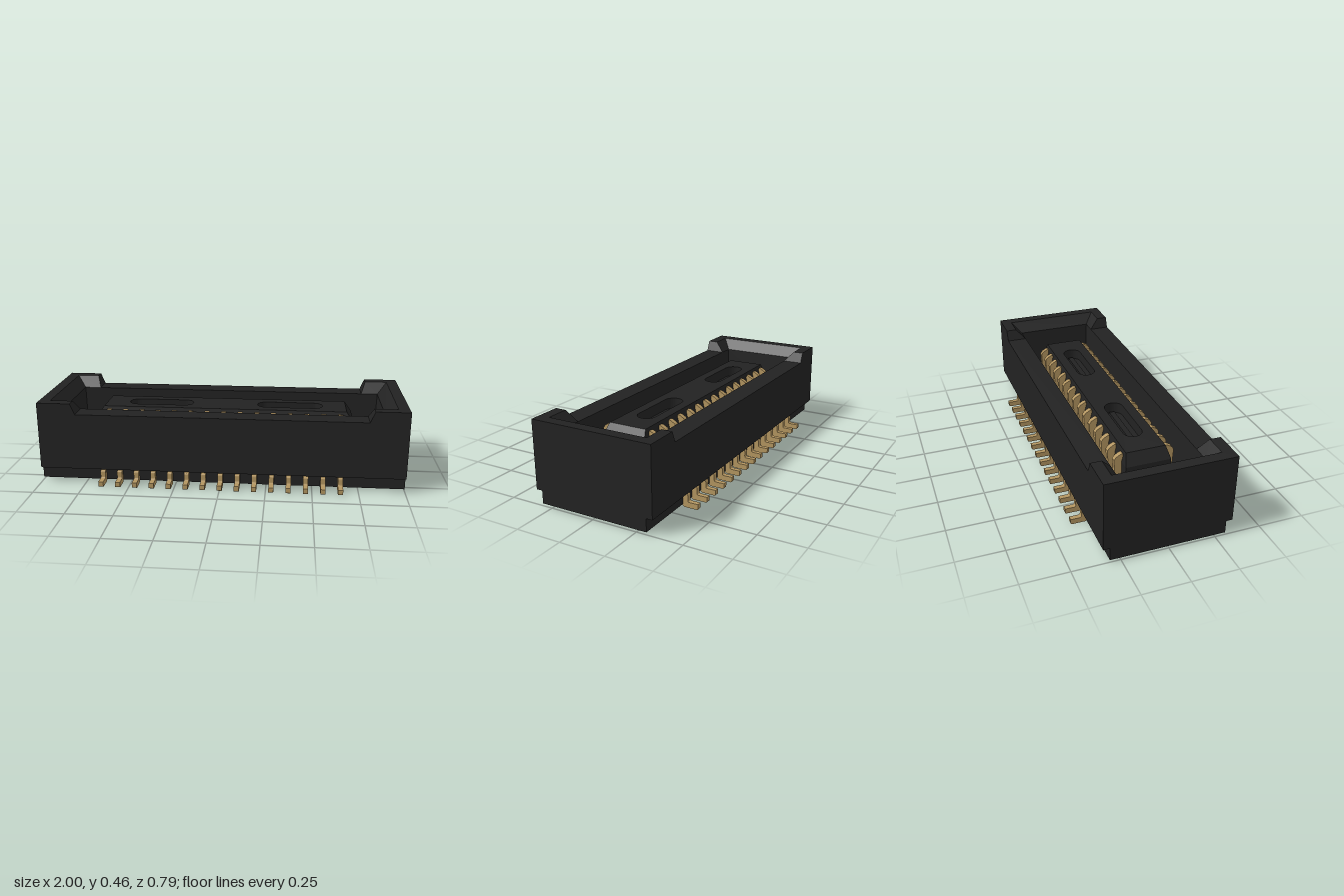
import * as THREE from 'three';

const black = new THREE.MeshStandardMaterial({ color: 0x222222 });
black.name = 'black plastic';
const gold = new THREE.MeshStandardMaterial({ color: 0xb39560 });
gold.name = 'gold contact';

const polygon = (pts) => new THREE.Shape(pts.map(([x, y]) => new THREE.Vector2(x, y)));
const rect = (hx, hz) => polygon([[-hx, -hz], [hx, -hz], [hx, hz], [-hx, hz]]);

// Rounded slot outline centred on (cx, 0)
function slot(cx, halfLength, r) {
  const s = new THREE.Path();
  const d = halfLength - r;
  s.absarc(cx + d, 0, r, -Math.PI / 2, Math.PI / 2, false);
  s.absarc(cx - d, 0, r, Math.PI / 2, Math.PI * 1.5, false);
  s.closePath();
  return s;
}

// Plan outline raised from y0 to y1; topRule may shift the upper vertices
function raise(shape, y0, y1, topRule) {
  const g = new THREE.ExtrudeGeometry(shape, { depth: y1 - y0, bevelEnabled: false, curveSegments: 8 });
  g.rotateX(-Math.PI / 2);
  g.translate(0, y0, 0);
  if (topRule) {
    const p = g.attributes.position;
    for (let i = 0; i < p.count; i++) {
      if (p.getY(i) < (y0 + y1) / 2) continue;
      const [x, z] = topRule(p.getX(i), p.getZ(i));
      p.setX(i, x);
      p.setZ(i, z);
    }
    g.computeVertexNormals();
  }
  return g;
}

export function createModel() {
  const model = new THREE.Group();
  model.name = 'boardConnector';
  const add = (name, geometry, material, parent = model) => {
    const m = new THREE.Mesh(geometry, material);
    m.name = name;
    parent.add(m);
    return m;
  };
  const box = (name, hx, hz, y0, y1, x = 0, z = 0) => {
    const g = new THREE.BoxGeometry(hx * 2, y1 - y0, hz * 2);
    g.translate(x, (y0 + y1) / 2, z);
    return add(name, g, black);
  };

  // Housing: narrow base, ring of walls and cavity floor
  box('base', 1, 0.306, 0.013, 0.084);
  const ring = rect(1, 0.34);
  ring.holes.push(rect(0.875, 0.215));
  add('walls', raise(ring, 0.083, 0.395, (x, z) => [
    Math.abs(x) < 0.9 ? Math.sign(x) * 0.885 : x,
    Math.abs(z) < 0.3 ? Math.sign(z) * 0.225 : z,
  ]), black);
  box('cavityFloor', 0.876, 0.216, 0.084, 0.1);

  // Raised U-shaped ends with sloping lead-in faces
  const endShape = polygon([[0.79, -0.34], [1, -0.34], [1, 0.34], [0.79, 0.34],
    [0.79, 0.225], [0.885, 0.225], [0.885, -0.225], [0.79, -0.225]]);
  const endGeometry = raise(endShape, 0.395, 0.455, (x, z) => [
    x < 0.8 ? 0.815 : x < 0.9 ? 0.94 : x,
    Math.abs(z) < 0.3 ? Math.sign(z) * 0.28 : z,
  ]);
  add('leftRaisedEnd', endGeometry, black);
  add('rightRaisedEnd', endGeometry, black).rotation.y = Math.PI;

  // Central tongue with bevelled top and two slots
  box('tongueBase', 0.725, 0.122, 0.1, 0.32);
  const top = rect(0.725, 0.122);
  for (const side of [-1, 1]) top.holes.push(slot(side * 0.37, 0.185, 0.052));
  add('tongueTop', raise(top, 0.32, 0.38, (x, z) => [
    Math.abs(x) > 0.7 ? Math.sign(x) * 0.685 : x,
    Math.abs(z) > 0.1 ? Math.sign(z) * 0.107 : z,
  ]), black);
  for (const side of [-1, 1]) box('slotRib', 0.165, 0.015, 0.32, 0.335, side * 0.37);

  // Contacts: bent solder foot outside, slim blade beside the tongue
  const width = 0.027;
  const foot = new THREE.Shape();
  foot.moveTo(0.3, 0.01);
  foot.lineTo(0.315, 0);
  foot.lineTo(0.385, 0);
  foot.quadraticCurveTo(0.393, 0, 0.393, 0.008);
  foot.lineTo(0.393, 0.03);
  foot.lineTo(0.345, 0.03);
  foot.quadraticCurveTo(0.335, 0.03, 0.335, 0.04);
  foot.lineTo(0.335, 0.064);
  foot.quadraticCurveTo(0.335, 0.073, 0.326, 0.073);
  foot.lineTo(0.3, 0.073);
  const blade = polygon([[0.115, 0.095], [0.15, 0.095], [0.162, 0.335], [0.15, 0.352], [0.125, 0.366], [0.115, 0.366]]);
  const profile = (shape) => {
    const g = new THREE.ExtrudeGeometry(shape, { depth: width, bevelEnabled: false, curveSegments: 4 });
    g.translate(0, 0, -width / 2);
    g.rotateY(-Math.PI / 2);
    return g;
  };
  const footGeometry = profile(foot);
  const bladeGeometry = profile(blade);
  for (const row of ['front', 'back']) {
    const group = new THREE.Group();
    group.name = row + 'Contacts';
    if (row === 'back') group.rotation.y = Math.PI;
    for (let i = -7; i <= 7; i++) {
      add('solderFoot', footGeometry, gold, group).position.x = i * 0.0932;
      add('contactBlade', bladeGeometry, gold, group).position.x = i * 0.0932;
    }
    model.add(group);
  }
  return model;
}
